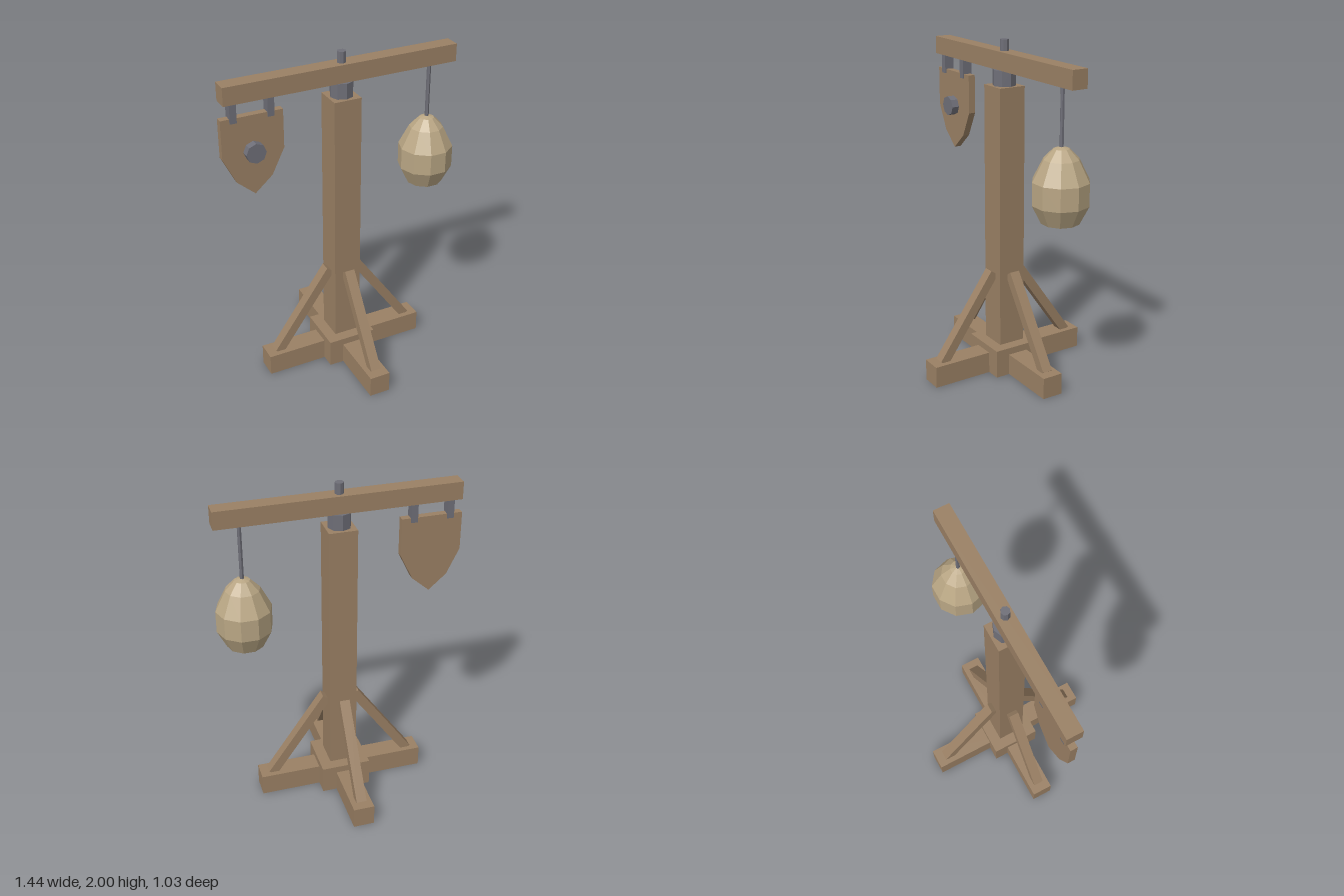
import * as THREE from 'three';

export function createModel() {
  const model = new THREE.Group();
  model.name = 'trainingPost';

  const material = (name, color) => {
    const m = new THREE.MeshStandardMaterial({ color, flatShading: true });
    m.name = name;
    return m;
  };
  const wood = material('wood', 0x9a8064);
  const metal = material('metal', 0x6f6f78);
  const burlap = material('burlap', 0xb9a684);

  const add = (name, geometry, mat, x = 0, y = 0, z = 0, parent = model) => {
    const mesh = new THREE.Mesh(geometry, mat);
    mesh.name = name;
    mesh.position.set(x, y, z);
    parent.add(mesh);
    return mesh;
  };
  const box = (w, h, d) => new THREE.BoxGeometry(w, h, d);
  const rod = (r, h, sides = 8) => new THREE.CylinderGeometry(r, r, h, sides);

  // Crossed feet, hub and upright
  add('footAcross', box(1.03, 0.13, 0.126), wood, 0, 0.065, 0);
  for (const s of [-1, 1]) {
    add('footAlong', box(0.126, 0.13, 0.452), wood, 0, 0.065, s * 0.289);
  }
  add('hub', box(0.3, 0.172, 0.3), wood, 0, 0.086, 0);
  add('post', box(0.166, 1.57, 0.166), wood, 0, 0.955, 0);

  // Four diagonal braces
  for (let i = 0; i < 4; i++) {
    const arm = new THREE.Group();
    arm.name = 'braceArm';
    arm.rotation.y = i * Math.PI / 2;
    model.add(arm);
    const brace = add('brace', box(0.056, 0.614, 0.062), wood, 0.2645, 0.373, 0, arm);
    brace.rotation.z = Math.atan2(0.352, 0.503);
  }

  // Swivel and crossbeam
  add('collar', rod(0.068, 0.092), metal, 0, 1.785, 0);
  add('pivotPin', rod(0.026, 0.2), metal, 0, 1.9, 0);
  add('crossbeam', box(1.412, 0.105, 0.096), wood, 0, 1.8825, 0);

  // Hanging shield target
  const outline = [[-0.18, 1.74], [-0.18, 1.51], [-0.105, 1.357], [0, 1.265],
    [0.105, 1.357], [0.18, 1.51], [0.18, 1.74]];
  const shieldShape = new THREE.Shape(outline.map(([x, y]) => new THREE.Vector2(x, y)));
  const shieldGeometry = new THREE.ExtrudeGeometry(shieldShape, { depth: 0.042, bevelEnabled: false });
  add('shield', shieldGeometry, wood, -0.54, 0, -0.021);
  const boss = add('shieldBoss', rod(0.059, 0.05), metal, -0.54, 1.53, 0.041);
  boss.rotation.x = Math.PI / 2;
  for (const s of [-1, 1]) {
    add('shieldStrap', box(0.039, 0.118, 0.058), metal, -0.54 + s * 0.108, 1.773, 0);
  }

  // Hanging sack
  add('sackRod', rod(0.012, 0.35, 6), metal, 0.558, 1.66, 0);
  const profile = [[0, 1.058], [0.108, 1.08], [0.161, 1.185], [0.161, 1.314],
    [0.1, 1.435], [0.045, 1.492], [0, 1.505]].map(([r, y]) => new THREE.Vector2(r, y));
  add('sack', new THREE.LatheGeometry(profile, 10, Math.PI / 2), burlap, 0.558, 0, 0);

  return model;
}
